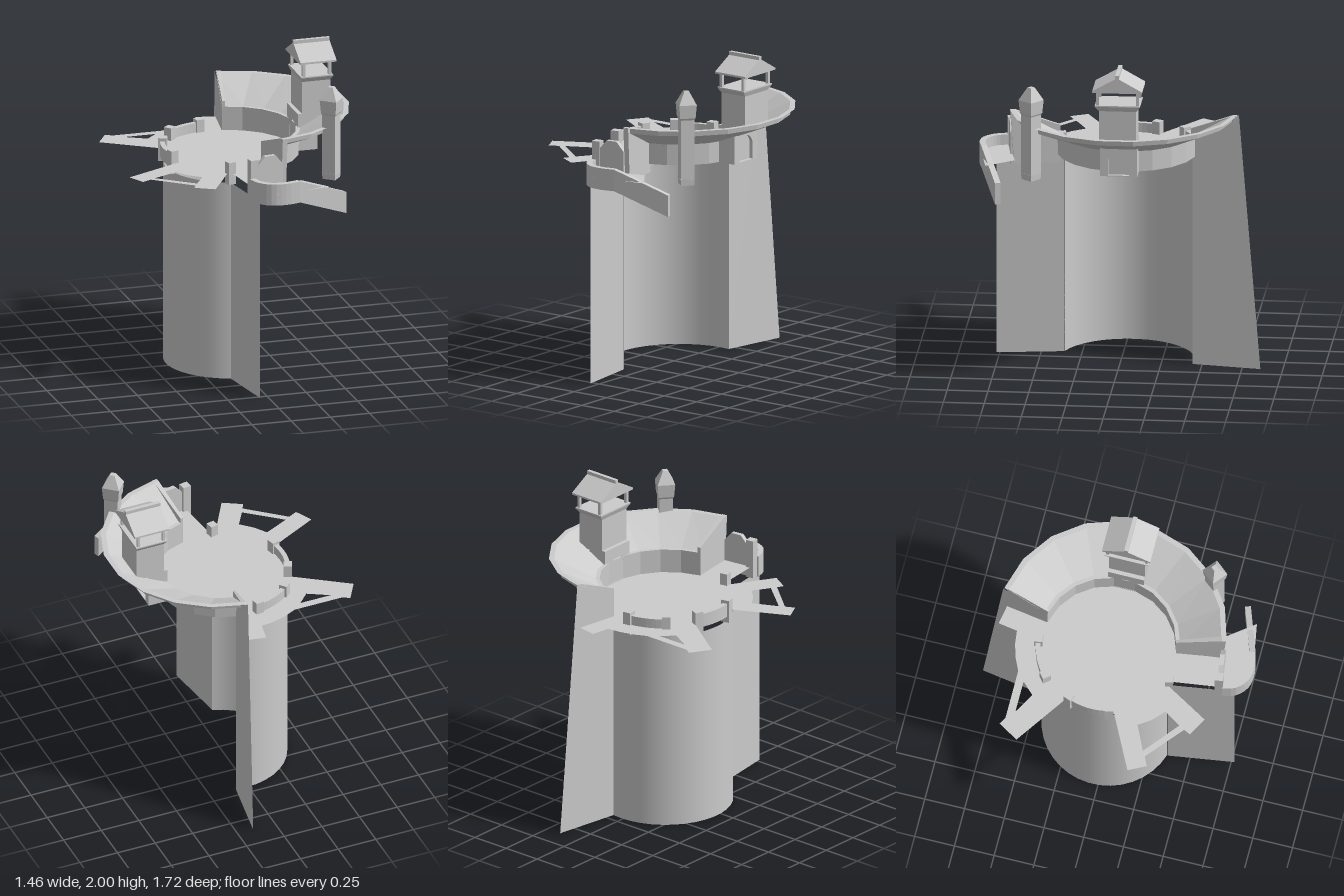
import * as THREE from 'three';

const grey = new THREE.MeshStandardMaterial({ color: 0xcccccc, flatShading: true, side: THREE.DoubleSide });
const smooth = new THREE.MeshStandardMaterial({ color: 0xcccccc, side: THREE.DoubleSide });
const V = (x, y, z) => new THREE.Vector3(x, y, z);
const rad = THREE.MathUtils.degToRad;
const BASE = 1.26; // top of the drum
const FLOOR = 1.325;

// points on the inner (drum) circle and on the outer rim circle, angle in degrees from +x towards +z
const inner = (r, a) => [r * Math.cos(rad(a)), -0.035 + r * Math.sin(rad(a))];
const outer = (r, a) => [0.03 + r * Math.cos(rad(a)), -0.025 + r * Math.sin(rad(a))];
const arc = (r, a0, a1, n) => Array.from({ length: n + 1 }, (_, i) => inner(r, a0 + (a1 - a0) * i / n));

// joins equal-sized loops of points into a closed solid with end caps
function loft(loops) {
  const p = [], tri = (...v) => v.forEach(q => p.push(q.x, q.y, q.z));
  const n = loops[0].length;
  for (let i = 0; i + 1 < loops.length; i++) {
    for (let j = 0; j < n; j++) {
      const k = (j + 1) % n, A = loops[i], B = loops[i + 1];
      tri(A[j], A[k], B[k]);
      tri(A[j], B[k], B[j]);
    }
  }
  for (let j = 1; j + 1 < n; j++) {
    const A = loops[0], B = loops[loops.length - 1];
    tri(A[0], A[j + 1], A[j]);
    tri(B[0], B[j], B[j + 1]);
  }
  const g = new THREE.BufferGeometry();
  g.setAttribute('position', new THREE.Float32BufferAttribute(p, 3));
  g.computeVertexNormals();
  return g;
}

// wall of constant thickness along a plan path of [x, z, bottom, top]
function wallAlong(path, t) {
  return loft(path.map(([x, z, b, h], i) => {
    const a = path[Math.max(i - 1, 0)], c = path[Math.min(i + 1, path.length - 1)];
    const d = Math.hypot(c[0] - a[0], c[1] - a[1]);
    const nx = -(c[1] - a[1]) / d * t / 2, nz = (c[0] - a[0]) / d * t / 2;
    return [V(x + nx, b, z + nz), V(x + nx, h, z + nz), V(x - nx, h, z - nz), V(x - nx, b, z - nz)];
  }));
}

// upright panel from a 2D outline, with an optional opening
function panel(outline, depth, hole) {
  const s = new THREE.Shape(outline.map(q => new THREE.Vector2(...q)));
  if (hole) s.holes.push(hole);
  return new THREE.ExtrudeGeometry(s, { depth, bevelEnabled: false, curveSegments: 6 }).translate(0, 0, -depth / 2);
}

export function createModel() {
  const model = new THREE.Group();
  const add = (name, geo, x = 0, y = 0, z = 0, ry = 0, mat = grey) => {
    const m = new THREE.Mesh(geo, mat);
    m.name = name;
    m.position.set(x, y, z);
    m.rotation.y = ry;
    model.add(m);
  };
  const box = (name, w, h, d, x, y, z, ry) => add(name, new THREE.BoxGeometry(w, h, d), x, y + h / 2, z, ry);
  const sheet = (name, pts) => {
    const g = new THREE.BufferGeometry().setFromPoints([0, 1, 2, 0, 2, 3].map(i => V(...pts[i])));
    g.computeVertexNormals();
    add(name, g);
  };

  // half-round drum and its two flat fins
  add('drumWall', new THREE.CylinderGeometry(0.413, 0.413, BASE, 18, 1, true, rad(-189.5), rad(172.5)),
    0.012, BASE / 2, -0.035, 0, smooth);
  sheet('frontFin', [[-0.11, 0, 0.362], [-0.05, 0, 0.77], [-0.05, BASE, 0.77], [-0.11, BASE, 0.362]]);
  sheet('backFin', [[0.08, 0, -0.442], [0.147, 0, -0.863], [0.124, 1.61, -0.73], [0.08, 1.48, -0.442]]);

  // thin floor with braced walkways and the front terrace
  const toShape = pts => pts.map(([x, z]) => new THREE.Vector2(x, -z));
  const floor = new THREE.Shape(toShape([
    ...arc(0.415, 78, -79, 16),
    [0.12, -0.705], [0, -0.727], [-0.02, -0.607], [-0.105, -0.597], [-0.19, -0.572], [-0.27, -0.535],
    [-0.585, -0.535], [-0.63, -0.56], [-0.705, -0.435],
    ...arc(0.42, 205, 161, 8),
    [-0.73, 0.27], [-0.675, 0.378], [-0.617, 0.35], [-0.39, 0.54], [-0.41, 0.58], [-0.295, 0.645],
    [-0.14, 0.38], [-0.11, 0.37], [-0.065, 0.70], [-0.05, 0.79], [0, 0.83], [0.04, 0.86],
    [0.385, 0.80], [0.255, 0.63], [0.12, 0.66],
  ]));
  floor.holes.push(
    new THREE.Path(toShape([[-0.53, -0.486], [-0.33, -0.486], [-0.40, -0.413]])),
    new THREE.Path(toShape([[-0.585, 0.33], [-0.43, 0.257], [-0.375, 0.335], [-0.305, 0.40], [-0.37, 0.505]])));
  add('floor', new THREE.ShapeGeometry(floor).rotateX(-Math.PI / 2), 0, FLOOR, 0);

  // flared gallery: low inner wall, sloping bowl and flanged rim
  const at = (f, r, y, a) => { const [x, z] = f(r, a); return V(x, y, z); };
  const bowl = [];
  for (let i = 0; i <= 9; i++) {
    const a = -82 + 164 * i / 9, b = a * 0.96;
    bowl.push([
      at(inner, 0.432, 1.455, b), at(outer, 0.678, 1.573, a), at(outer, 0.684, 1.605, a), at(outer, 0.707, 1.61, a),
      at(outer, 0.675, 1.61, a), at(inner, 0.437, 1.475, b), at(inner, 0.412, 1.475, b),
      at(inner, 0.412, FLOOR, b), at(inner, 0.43, FLOOR, b),
    ]);
  }
  add('galleryBowl', loft(bowl));

  // end walls of the gallery, the front one reaching down to the drum
  const endWall = (name, s, low, angles) => add(name, loft(angles.map(a => [
    at(inner, 0.411, low, s * a * 0.96), at(inner, 0.411, 1.51, s * a * 0.96),
    at(outer, 0.677, 1.612, s * a), at(outer, 0.703, 1.612, s * a),
    at(outer, 0.68, s > 0 ? low : 1.56, s * a)])));
  endWall('frontEndWall', 1, 1.27, [82.2, 79.5]);
  endWall('backEndWall', -1, 1.45, [81.8, 79.5]);

  // bell tower with arched base
  const tx = 0.52, tz = -0.03;
  const arch = new THREE.Path();
  arch.moveTo(-0.065, 0.006).lineTo(0.065, 0.006).lineTo(0.065, 0.1);
  arch.absarc(0, 0.1, 0.065, 0, Math.PI, false);
  add('towerArchBase', panel([[-0.114, 0], [0.114, 0], [0.114, 0.235], [-0.114, 0.235]], 0.125, arch),
    0.4675, FLOOR, tz, Math.PI / 2);
  box('doorPanel', 0.09, 0.17, 0.14, 0.463, FLOOR, tz);
  box('towerBody', 0.18, 0.23, 0.228, tx, 1.54, tz);
  const ring = (w, d, y) => [V(-w, y, -d), V(w, y, -d), V(w, y, d), V(-w, y, d)];
  add('towerFlare', loft([ring(0.09, 0.114, 1.765), ring(0.102, 0.138, 1.795), ring(0.102, 0.138, 1.803)]), tx, 0, tz);
  for (const sx of [-1, 1]) for (const sz of [-1, 1])
    box('towerPost', 0.018, 0.1, 0.018, tx + sx * 0.083, 1.8, tz + sz * 0.122);
  add('towerRoof', loft([-0.115, 0.115].map(x =>
    [V(x, 1.985, 0), V(x, 1.9, 0.152), V(x, 1.888, 0.152), V(x, 1.888, -0.152), V(x, 1.9, -0.152)])), tx + 0.003, 0, tz);
  box('roofRidge', 0.23, 0.022, 0.024, tx + 0.003, 1.978, tz);

  // square turret hanging on the outside of the rim
  const turret = (name, rTop, rBottom, y0, y1) =>
    add(name, new THREE.CylinderGeometry(rTop, rBottom, y1 - y0, 4), 0.485, (y0 + y1) / 2, 0.51, rad(5));
  turret('turretFoot', 0.062, 0.058, 1.28, 1.32);
  turret('turretShaft', 0.06, 0.06, 1.32, 1.69);
  turret('turretFlare', 0.068, 0.06, 1.69, 1.702);
  turret('turretHead', 0.077, 0.068, 1.702, 1.785);
  turret('turretRoof', 0.022, 0.077, 1.785, 1.865);

  // curved parapets with end posts, set through the floor
  for (const [a0, a1, r] of [[202, 165, 0.405], [230, 262, 0.43]]) {
    add('parapet', wallAlong(arc(r, a0, a1, 8).map(([x, z]) => [x, z, 1.30, 1.385]), 0.03));
    for (const a of [a0, a1]) {
      const [x, z] = inner(r, a);
      box('parapetPost', 0.052, 0.145, 0.052, x, BASE, z, rad(-a));
    }
  }
  box('terracePost', 0.05, 0.14, 0.05, -0.117, BASE, 0.375, rad(12));

  // gatehouse front and its post
  add('gateWall', panel([[-0.085, 0], [0.085, 0], [0.085, 0.2], [0.035, 0.257], [-0.035, 0.257], [-0.085, 0.2]], 0.028),
    0.04, BASE, 0.668, rad(8));
  box('gatePost', 0.052, 0.245, 0.05, -0.067, BASE, 0.678, rad(8));

  // curved terrace wall that turns into a descending chute side
  const bend = new THREE.CatmullRomCurve3(
    [V(-0.08, 0, 0.70), V(-0.055, 0, 0.775), V(0.005, 0, 0.83), V(0.09, 0, 0.843), V(0.18, 0, 0.825)]);
  add('terraceWall', wallAlong([...bend.getPoints(12).map(p => [p.x, p.z, 1.255, 1.39]), [0.507, 0.712, 1.12, 1.255]], 0.036));

  return model;
}
